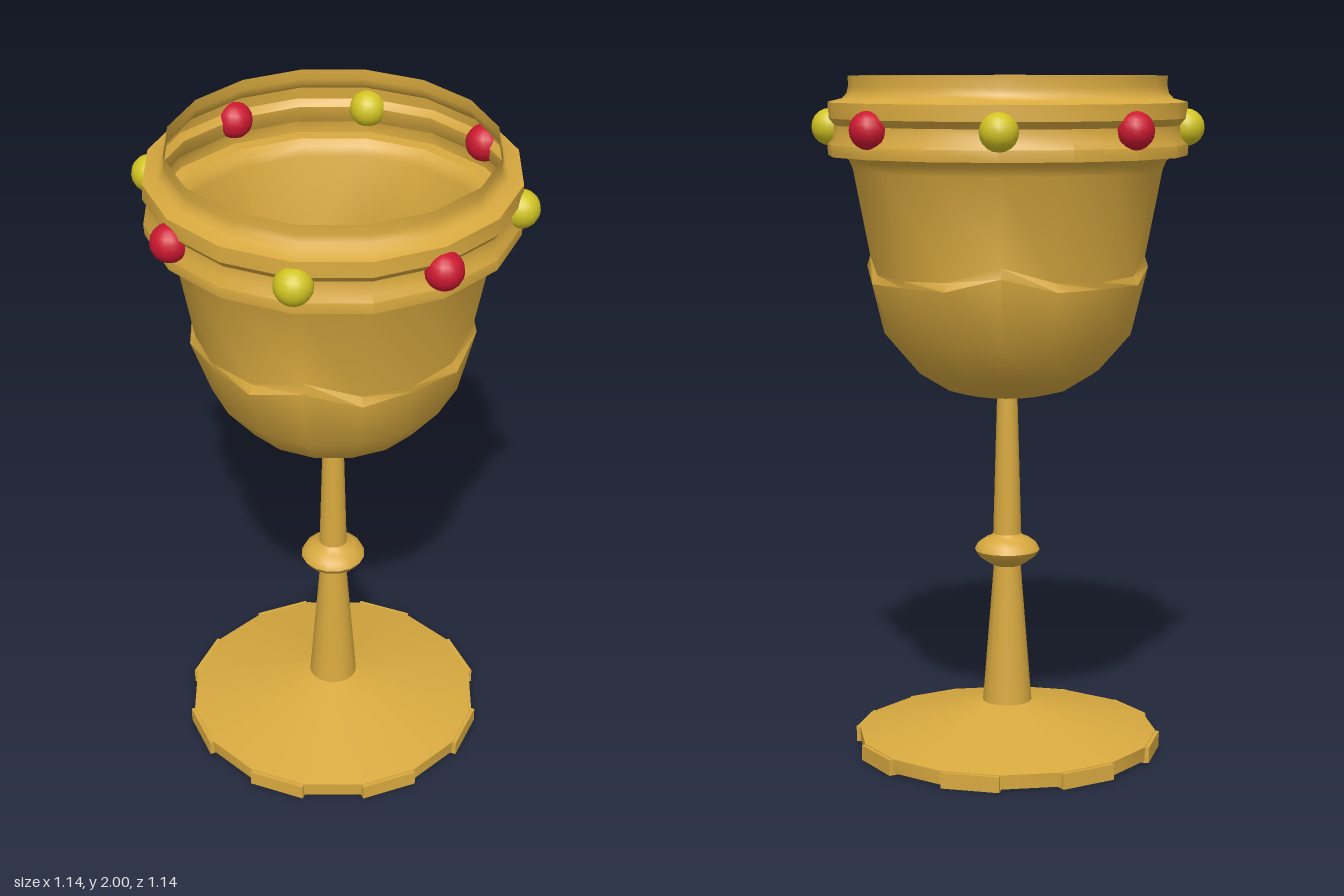
import * as THREE from 'three';
import { toCreasedNormals } from 'three/addons/utils/BufferGeometryUtils.js';

const SIDES = 16;
const gold = new THREE.MeshStandardMaterial({ color: 0xd8a93f, side: THREE.DoubleSide });
const red = new THREE.MeshStandardMaterial({ color: 0xcc1830 });
const yellow = new THREE.MeshStandardMaterial({ color: 0xd2c422 });

function lathe(profile) {
  return new THREE.LatheGeometry(profile.map(([r, y]) => new THREE.Vector2(r, y)), SIDES);
}

function addMesh(parent, name, geometry, material) {
  const mesh = new THREE.Mesh(geometry, material);
  mesh.name = name;
  parent.add(mesh);
  return mesh;
}

// Thin bowl whose lower wall carries four raised petals on the axes
function bowlGeometry() {
  const profile = [
    [0.03, 1.075], [0.12, 1.075], [0.18, 1.09], [0.27, 1.145], [0.355, 1.25],
    [0.392, 1.41], [0.395, 1.43], [0.45, 1.73], [0.46, 1.755], [0.48, 1.772],
  ];
  const geo = lathe(profile);
  const pos = geo.attributes.position;
  const rows = profile.length;
  const OUTER = 5, INNER = 6;
  for (let col = 0; col <= SIDES; col++) {
    const step = col % 4; // 0 is a petal's middle, 1 and 3 its edges
    if (step === 2) continue;
    const middle = step === 0;
    const phi = (col / SIDES) * Math.PI * 2;
    const place = (row, r, y) => pos.setXYZ(col * rows + row, r * Math.sin(phi), y, r * Math.cos(phi));
    place(OUTER, 0.411, middle ? 1.45 : 1.41);
    place(INNER, middle ? 0.402 : 0.396, middle ? 1.48 : 1.435);
    if (middle) place(4, 0.362, 1.25);
  }
  return toCreasedNormals(geo, 0.7);
}

export function createModel() {
  const model = new THREE.Group();
  model.name = 'goblet';

  addMesh(model, 'bowl', bowlGeometry(), gold);

  // Grooved band and upright lip
  const rim = lathe([
    [0.48, 1.772], [0.522, 1.772], [0.524, 1.805], [0.51, 1.825], [0.507, 1.86],
    [0.523, 1.88], [0.521, 1.925], [0.48, 1.935], [0.466, 1.95], [0.462, 1.97], [0.462, 2],
  ]);
  addMesh(model, 'rim', toCreasedNormals(rim, 0.7), gold);

  // Tapered stem
  const stem = lathe([[0.073, 0.14], [0.04, 0.56], [0.042, 0.65], [0.03, 1.075]]);
  addMesh(model, 'stem', stem, gold);

  // Rounded bead around the stem
  const knop = lathe([
    [0.038, 0.555], [0.06, 0.567], [0.085, 0.585], [0.097, 0.603],
    [0.088, 0.622], [0.065, 0.638], [0.048, 0.645], [0.04, 0.655],
  ]);
  addMesh(model, 'stemBead', toCreasedNormals(knop, 0.9), gold);

  // Sloping foot with a flat underside
  const foot = lathe([[0, 0.006], [0.445, 0.006], [0.447, 0.048], [0.073, 0.14]]);
  addMesh(model, 'foot', toCreasedNormals(foot, 0.7), gold);

  // Raised panels on every other side of the foot
  const panelGeo = new THREE.BoxGeometry(0.172, 0.046, 0.04).translate(0, 0.023, 0.43);
  for (let i = 0; i < SIDES / 2; i++) {
    const panel = addMesh(model, 'footPanel', panelGeo, gold);
    panel.rotation.y = ((4 * i - 1) * Math.PI) / SIDES;
  }

  // Alternating gems set in the groove
  const gemGeo = new THREE.SphereGeometry(0.054, 16, 10);
  for (let i = 0; i < 8; i++) {
    const a = (i * Math.PI) / 4;
    const gem = addMesh(model, i % 2 ? 'redGem' : 'yellowGem', gemGeo, i % 2 ? red : yellow);
    gem.position.set(0.516 * Math.sin(a), 1.853, 0.516 * Math.cos(a));
  }

  return model;
}
